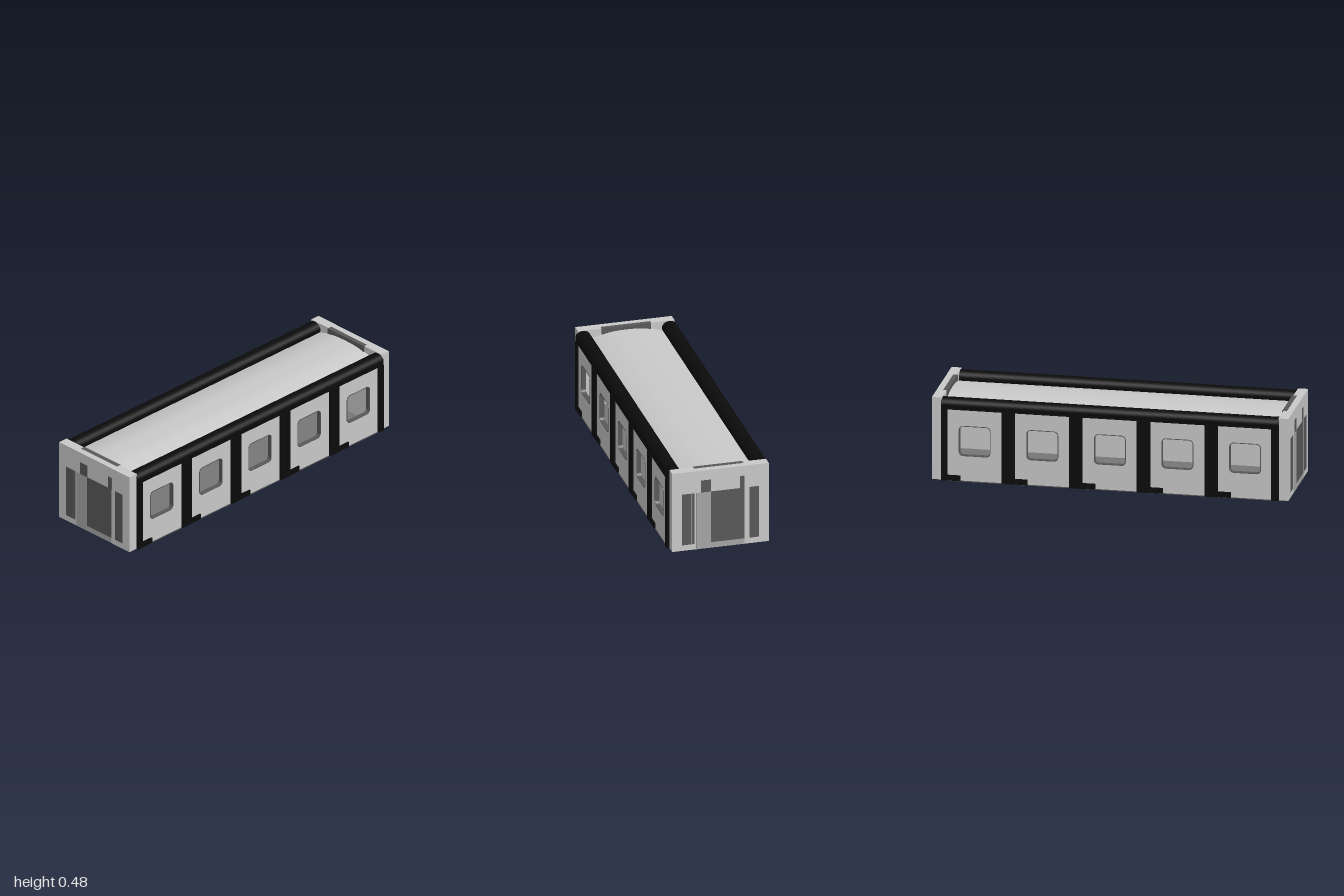
import * as THREE from 'three';

const mat = (name, color, side = THREE.FrontSide) => {
  const m = new THREE.MeshStandardMaterial({ color, side });
  m.name = name;
  return m;
};

// Rounded rectangle centred on (cx, cy), as a Shape or a Path
function roundRect(Type, cx, cy, w, h, r) {
  const p = new Type(), x = w / 2 - r, y = h / 2 - r;
  p.absarc(cx + x, cy + y, r, 0, Math.PI / 2);
  p.absarc(cx - x, cy + y, r, Math.PI / 2, Math.PI);
  p.absarc(cx - x, cy - y, r, Math.PI, Math.PI * 1.5);
  p.absarc(cx + x, cy - y, r, Math.PI * 1.5, Math.PI * 2);
  p.closePath();
  return p;
}

export function createModel() {
  const light = mat('lightPanel', 0xc9c9c9);
  const mid = mat('doorGrey', 0xa6a6a6);
  const dark = mat('darkGrey', 0x595959);
  const black = mat('blackFrame', 0x0b0b0b);
  const floorGrey = mat('floorGrey', 0x777777);
  const model = new THREE.Group();
  model.name = 'cabinModule';

  const add = (parent, name, geometry, material) => {
    const mesh = new THREE.Mesh(geometry, material);
    mesh.name = name;
    parent.add(mesh);
    return mesh;
  };
  // Box given by its low and high limits on each axis
  const box = (parent, name, material, x0, x1, y0, y1, z0, z1) => {
    const m = add(parent, name, new THREE.BoxGeometry(x1 - x0, y1 - y0, z1 - z0), material);
    m.position.set((x0 + x1) / 2, (y0 + y1) / 2, (z0 + z1) / 2);
    return m;
  };

  // Underside plate and floor
  box(model, 'basePlate', dark, -0.258, 0.258, 0, 0.009, -0.975, 0.975);
  box(model, 'floor', floorGrey, -0.272, 0.272, 0.008, 0.02, -0.945, 0.945);

  // Gently arched roof between the two rails
  const roof = new THREE.Shape();
  roof.moveTo(-0.25, 0.41);
  roof.lineTo(-0.21, 0.425);
  roof.splineThru([[-0.14, 0.445], [-0.06, 0.458], [0.06, 0.458], [0.14, 0.445], [0.21, 0.425]]
    .map(([x, y]) => new THREE.Vector2(x, y)));
  roof.lineTo(0.25, 0.41);
  roof.closePath();
  const roofGeo = new THREE.ExtrudeGeometry(roof, { depth: 1.89, bevelEnabled: false, curveSegments: 16 });
  roofGeo.translate(0, 0, -0.945);
  add(model, 'roof', roofGeo, light);

  const windowZ = [-0.757, -0.378, 0, 0.378, 0.757];
  const columnZ = [[0.908, 0.945], [0.532, 0.605], [0.152, 0.226], [-0.226, -0.152], [-0.605, -0.532], [-0.945, -0.905]];
  const footZ = [0.908, 0.532, 0.152, -0.226, -0.605];

  // One side, built facing +x; the second is turned half around
  function buildSide(name) {
    const side = new THREE.Group();
    side.name = name;

    const wall = new THREE.Shape();
    wall.moveTo(-0.943, 0.01);
    wall.lineTo(0.943, 0.01);
    wall.lineTo(0.943, 0.43);
    wall.lineTo(-0.943, 0.43);
    wall.closePath();
    windowZ.forEach(z => wall.holes.push(roundRect(THREE.Path, z, 0.24, 0.176, 0.172, 0.024)));
    const wallGeo = new THREE.ExtrudeGeometry(wall, { depth: 0.022, bevelEnabled: false, curveSegments: 5 });
    wallGeo.rotateY(Math.PI / 2).translate(0.259, 0, 0);
    add(side, 'wallPanel', wallGeo, light);

    // Thin dark lining around each window opening
    windowZ.forEach(z => {
      const ring = roundRect(THREE.Shape, 0, 0.24, 0.178, 0.174, 0.025);
      ring.holes.push(roundRect(THREE.Path, 0, 0.24, 0.17, 0.166, 0.021));
      const geo = new THREE.ExtrudeGeometry(ring, { depth: 0.026, bevelEnabled: false, curveSegments: 5 });
      geo.rotateY(Math.PI / 2).translate(0.257, 0, z);
      add(side, 'windowTrim', geo, dark);
    });

    // Upright posts, small feet and the sill
    columnZ.forEach(([a, b]) => box(side, 'post', black, 0.262, 0.29, 0.008, 0.42, a, b));
    footZ.forEach(z => box(side, 'foot', black, 0.265, 0.289, 0.009, 0.04, z - 0.072, z));
    box(side, 'sill', dark, 0.262, 0.284, 0.006, 0.0105, -0.942, 0.942);

    // Rounded roof rail, with a flat band over the panels
    const oval = new THREE.Shape();
    oval.absellipse(0.246, 0.441, 0.043, 0.037, 0, Math.PI * 2);
    const railGeo = new THREE.ExtrudeGeometry(oval, { depth: 1.89, bevelEnabled: false, curveSegments: 24 });
    railGeo.translate(0, 0, -0.945);
    add(side, 'roofRail', railGeo, black);
    box(side, 'railBand', black, 0.262, 0.287, 0.418, 0.44, -0.945, 0.945);
    model.add(side);
    return side;
  }
  buildSide('leftSide');
  buildSide('rightSide').rotation.y = Math.PI;

  // One end wall facing +z, with thin painted panels
  function buildEnd(name) {
    const end = new THREE.Group();
    end.name = name;
    box(end, 'endWall', light, -0.275, 0.275, 0.008, 0.48, 0.942, 0.998);
    box(end, 'topPlate', dark, -0.14, 0.14, 0.435, 0.481, 0.936, 0.962);
    const plate = (n, m, x0, x1, y0, y1, z = 0.9995) => box(end, n, m, x0, x1, y0, y1, 0.995, z);
    plate('doorPanel', mid, -0.138, 0.137, 0.009, 0.348, 0.999);
    plate('doorOpening', dark, -0.055, 0.137, 0.042, 0.348, 1);
    plate('sidePanel', dark, -0.22, -0.165, 0.042, 0.348);
    plate('sidePanelStrip', dark, -0.163, -0.148, 0.042, 0.348);
    plate('sidePanel', dark, 0.164, 0.22, 0.042, 0.348);
    plate('upperPanel', dark, -0.11, -0.055, 0.348, 0.42);
    plate('upperStrip', dark, 0.11, 0.137, 0.348, 0.42);
    model.add(end);
    return end;
  }
  buildEnd('frontEnd');
  buildEnd('backEnd').rotation.y = Math.PI;

  return model;
}
